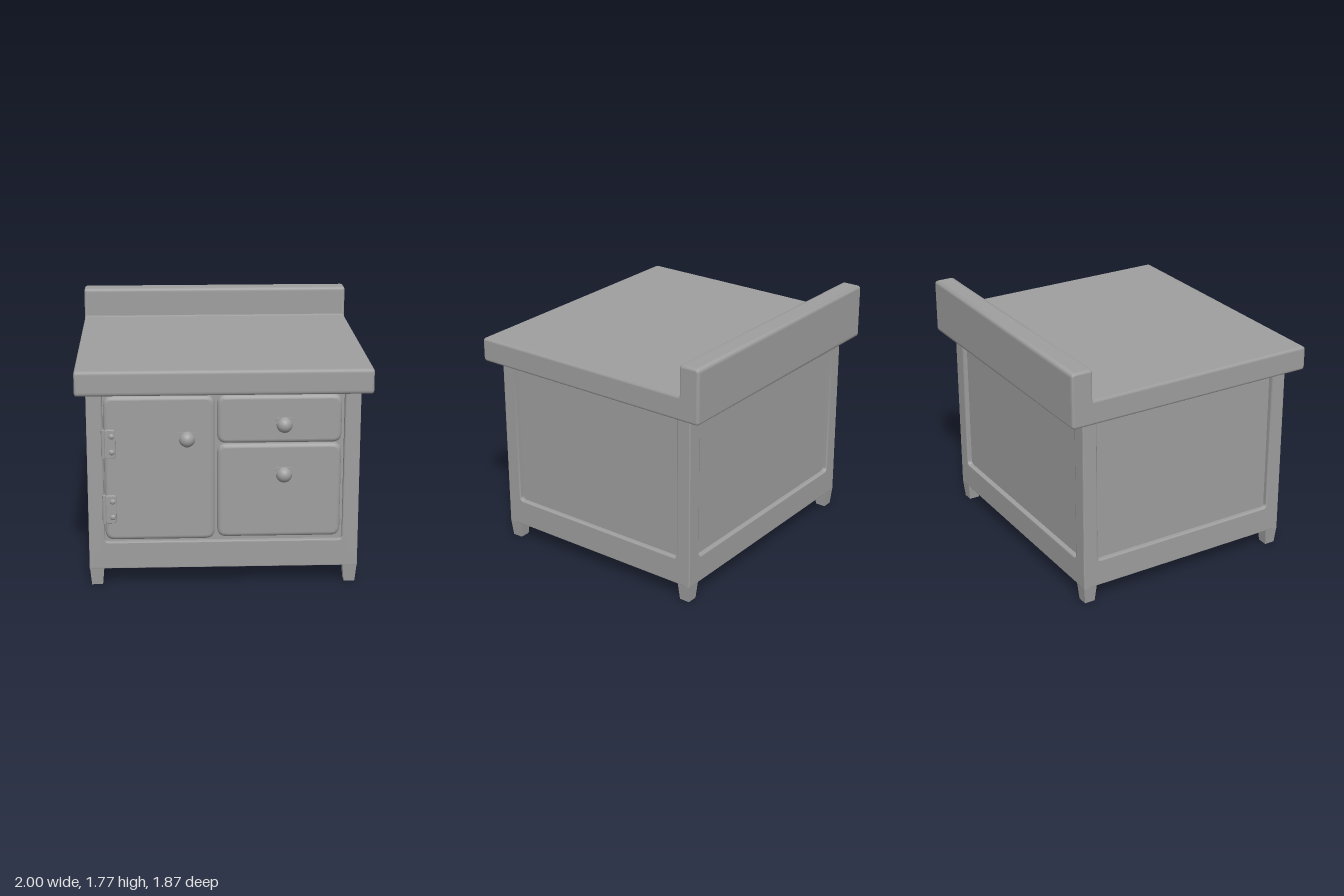
import * as THREE from 'three';
import { toCreasedNormals } from 'three/addons/utils/BufferGeometryUtils.js';

const material = new THREE.MeshStandardMaterial({ color: 0x9e9e9e });

function add(parent, name, geometry, x = 0, y = 0, z = 0) {
  const mesh = new THREE.Mesh(geometry, material);
  mesh.name = name;
  mesh.position.set(x, y, z);
  parent.add(mesh);
  return mesh;
}

// Closed outline through corners [x, y, radius], each corner rounded
function roundedOutline(path, corners) {
  const count = corners.length;
  corners.forEach(([x, y, radius], i) => {
    const corner = new THREE.Vector2(x, y);
    const toward = ([nx, ny]) => new THREE.Vector2(nx - x, ny - y).setLength(radius).add(corner);
    const start = toward(corners[(i + count - 1) % count]);
    const end = toward(corners[(i + 1) % count]);
    if (i === 0) path.moveTo(start.x, start.y);
    else path.lineTo(start.x, start.y);
    path.quadraticCurveTo(x, y, end.x, end.y);
  });
  path.closePath();
  return path;
}

// Smooth bevels while keeping the broad axis-aligned faces flat
function smoothBevels(geometry) {
  const result = toCreasedNormals(geometry, 0.6);
  const { position, normal } = result.attributes;
  const triangle = new THREE.Triangle();
  const n = new THREE.Vector3();
  for (let i = 0; i < position.count; i += 3) {
    triangle.setFromAttributeAndIndices(position, i, i + 1, i + 2).getNormal(n);
    if (Math.max(Math.abs(n.x), Math.abs(n.y), Math.abs(n.z)) > 0.999) {
      for (let k = i; k < i + 3; k++) normal.setXYZ(k, n.x, n.y, n.z);
    }
  }
  return result;
}

// Bevelled extrusion whose front face lies at z = 0 and back at z = -depth
function slab(shape, depth, bevel) {
  const geometry = new THREE.ExtrudeGeometry(shape, {
    depth: depth - 2 * bevel, bevelEnabled: true, bevelThickness: bevel,
    bevelSize: bevel, bevelOffset: -bevel, bevelSegments: 4, curveSegments: 6,
  });
  geometry.translate(0, 0, bevel - depth);
  return smoothBevels(geometry);
}

function panel(x0, y0, x1, y1, radius, depth, bevel) {
  const corners = [[x0, y0, radius], [x1, y0, radius], [x1, y1, radius], [x0, y1, radius]];
  return slab(roundedOutline(new THREE.Shape(), corners), depth, bevel);
}

// Cabinet wall with a recessed opening
function frame(halfWidth, halfOpening) {
  const shape = new THREE.Shape([
    new THREE.Vector2(-halfWidth, 0.12), new THREE.Vector2(halfWidth, 0.12),
    new THREE.Vector2(halfWidth, 1.4), new THREE.Vector2(-halfWidth, 1.4),
  ]);
  shape.holes.push(roundedOutline(new THREE.Path(), [
    [-halfOpening, 0.315, 0.03], [halfOpening, 0.315, 0.03],
    [halfOpening, 1.365, 0.005], [-halfOpening, 1.365, 0.005],
  ]));
  return slab(shape, 0.05, 0.009);
}

// Half-ball knob with two small pointed ears
function knob(parent, x, y, z) {
  const group = new THREE.Group();
  group.name = 'knob';
  group.position.set(x, y, z);
  const ball = new THREE.SphereGeometry(0.055, 24, 10, 0, Math.PI * 2, 0, Math.PI / 2);
  add(group, 'knobBall', ball.rotateX(Math.PI / 2));
  add(group, 'knobBack', new THREE.CircleGeometry(0.055, 24).rotateY(Math.PI));
  add(group, 'knobStem', new THREE.CylinderGeometry(0.015, 0.015, 0.04, 12).rotateX(Math.PI / 2), 0, 0, -0.019);
  for (const side of [-1, 1]) {
    const points = [[0.01, 0.045], [0.054, 0.005], [0.06, 0.05], [0.05, 0.056]]
      .map(([px, py]) => new THREE.Vector2(px * side, py));
    add(group, 'knobEar', new THREE.ExtrudeGeometry(new THREE.Shape(points), { depth: 0.016, bevelEnabled: false }));
  }
  parent.add(group);
}

// Hinge leaf with pivot barrel and two screws
function hinge(parent, y) {
  const group = new THREE.Group();
  group.name = 'hinge';
  group.position.set(0, y, 0);
  add(group, 'hingeLeaf', panel(-0.81, -0.1, -0.735, 0.1, 0.018, 0.04, 0.005), 0, 0, 0.84);
  add(group, 'hingeBarrel', new THREE.CylinderGeometry(0.014, 0.014, 0.2, 12), -0.817, 0, 0.834);
  for (const dy of [-0.056, 0.056]) {
    const screw = new THREE.SphereGeometry(0.02, 14, 6, 0, Math.PI * 2, 0, Math.PI / 2);
    add(group, 'hingeScrew', screw.rotateX(Math.PI / 2).scale(1, 1, 0.7), -0.76, dy, 0.838);
  }
  parent.add(group);
}

export function createModel() {
  const model = new THREE.Group();
  model.name = 'kitchenCabinet';

  // Cabinet body: inner core with a frame on each side
  add(model, 'cabinetCore', new THREE.BoxGeometry(1.79, 1.27, 1.57), 0, 0.756, 0);
  add(model, 'frontFrame', frame(0.93, 0.82), 0, 0, 0.82);
  add(model, 'backFrame', frame(0.93, 0.82), 0, 0, -0.82).rotation.y = Math.PI;
  for (const side of [-1, 1]) {
    add(model, 'sideFrame', frame(0.8, 0.71), side * 0.93).rotation.y = side * Math.PI / 2;
  }

  // Countertop and backsplash in one profile, swept along x
  const profile = roundedOutline(new THREE.Shape(), [
    [0.935, 1.383, 0.028], [0.935, 1.557, 0.028], [-0.78, 1.557, 0.01],
    [-0.78, 1.775, 0.028], [-0.935, 1.775, 0.028], [-0.935, 1.383, 0.028],
  ]);
  const counter = slab(profile, 2, 0.018);
  counter.translate(0, 0, 1).rotateY(-Math.PI / 2);
  add(model, 'countertop', counter);

  // Door and drawers set into the front opening
  add(model, 'door', panel(-0.815, 0.328, -0.062, 1.352, 0.065, 0.07, 0.028), 0, 0, 0.818);
  add(model, 'upperDrawer', panel(-0.045, 1.015, 0.803, 1.352, 0.065, 0.07, 0.028), 0, 0, 0.818);
  add(model, 'lowerDrawer', panel(-0.045, 0.34, 0.803, 1.01, 0.065, 0.07, 0.028), 0, 0, 0.818);

  knob(model, -0.25, 1.05, 0.82);
  knob(model, 0.41, 1.15, 0.838);
  knob(model, 0.41, 0.797, 0.838);
  hinge(model, 1.025);
  hinge(model, 0.56);

  // Tapered square feet
  for (const sx of [-1, 1]) {
    for (const sz of [-1, 1]) {
      const foot = new THREE.CylinderGeometry(0.05 * Math.SQRT2, 0.038 * Math.SQRT2, 0.13, 4, 1).toNonIndexed();
      foot.rotateY(Math.PI / 4);
      foot.computeVertexNormals();
      add(model, 'foot', foot, sx * 0.878, 0.065, sz * 0.768);
    }
  }
  return model;
}
